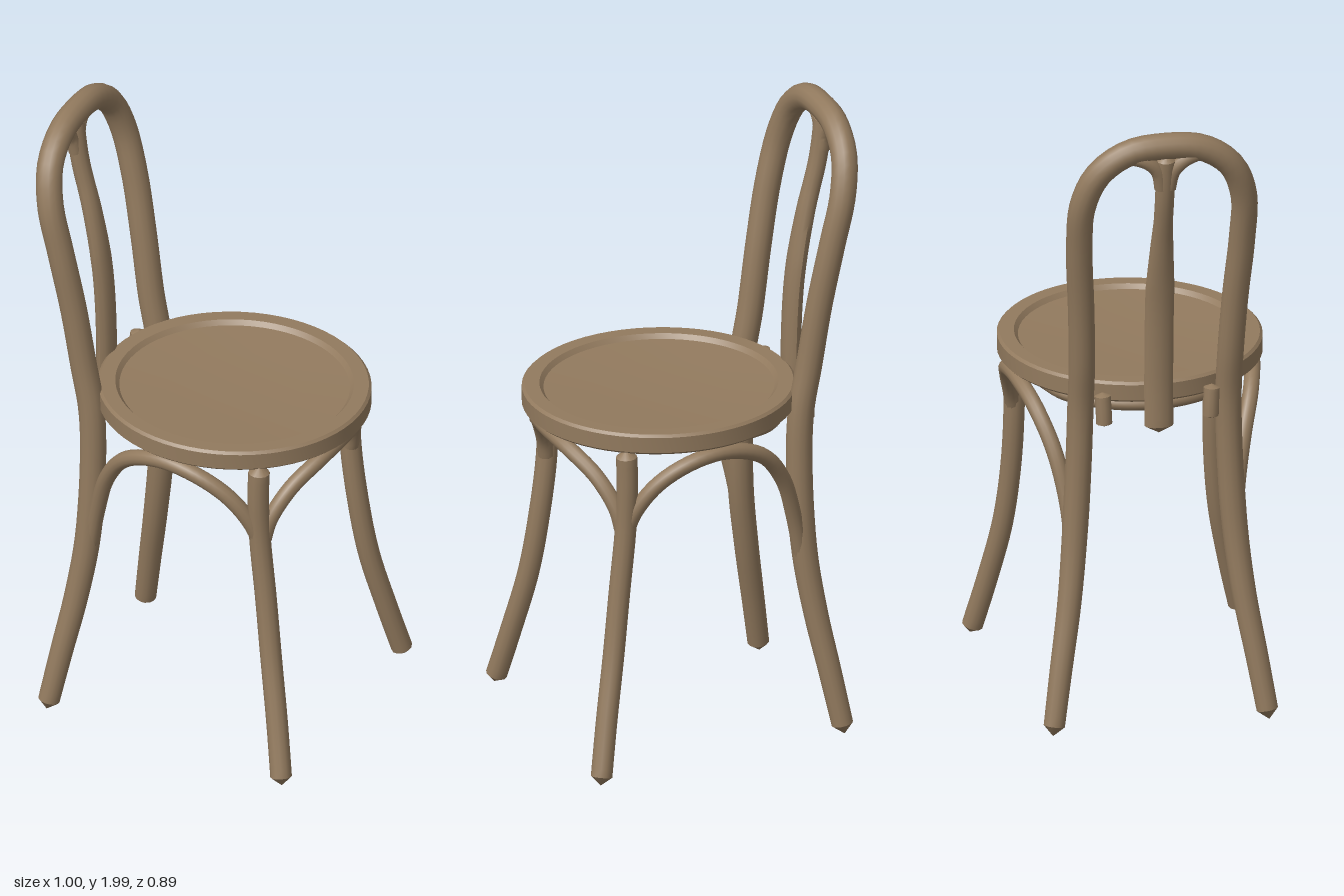
import * as THREE from 'three';
import { toCreasedNormals } from 'three/addons/utils/BufferGeometryUtils.js';

const wood = new THREE.MeshStandardMaterial({ color: 0x927a5e });
wood.name = 'brown wood';

// Bent rod through points; size(u) gives [thickness radius, radius along z]. Ends are closed.
function rod(name, points, size, steps = 40, sides = 12) {
  const curve = new THREE.CatmullRomCurve3(points.map((p) => new THREE.Vector3(...p)));
  const geo = new THREE.TubeGeometry(curve, steps, 1, sides);
  const pos = geo.attributes.position;
  const v = new THREE.Vector3();
  for (let i = 0; i < pos.count; i++) {
    const ring = Math.floor(i / (sides + 1));
    const end = ring === 0 || ring === steps;
    const u = ring / steps;
    const centre = curve.getPointAt(u);
    const [a, b] = size(u);
    v.fromBufferAttribute(pos, i).sub(centre);
    if (end) v.set(0, 0, 0);
    pos.setXYZ(i, centre.x + v.x * a, centre.y + v.y * a, centre.z + v.z * b);
  }
  const mesh = new THREE.Mesh(toCreasedNormals(geo, 0.7), wood);
  mesh.name = name;
  return mesh;
}

const round = (r) => () => [r, r];
const flip = (points) => points.map(([x, y, z]) => [x, y, -z]);

export function createModel() {
  const chair = new THREE.Group();
  chair.name = 'bentwoodChair';

  // Seat: rim with a dished panel, hollow below
  const profile = [
    [0, 1.085], [0.33, 1.085], [0.335, 1.058], [0.395, 1.058], [0.404, 1.066], [0.404, 1.116],
    [0.396, 1.124], [0.352, 1.124], [0.34, 1.11], [0.2, 1.102], [0, 1.098],
  ].map(([x, y]) => new THREE.Vector2(x, y));
  const seatGeo = new THREE.LatheGeometry(profile, 64);
  seatGeo.scale(1.04, 1, 1);
  const seat = new THREE.Mesh(toCreasedNormals(seatGeo, 0.5), wood);
  seat.name = 'seat';
  seat.position.x = 0.07;
  chair.add(seat);

  // Rear legs and back hoop are one continuous bent rod
  const half = [
    [-0.402, 0.005, 0.336], [-0.368, 0.2, 0.305], [-0.332, 0.4, 0.272], [-0.305, 0.6, 0.25],
    [-0.295, 0.85, 0.235], [-0.302, 1.05, 0.23], [-0.328, 1.2, 0.231], [-0.358, 1.4, 0.24],
    [-0.395, 1.6, 0.253], [-0.432, 1.76, 0.25], [-0.455, 1.87, 0.205], [-0.464, 1.935, 0.115],
  ];
  const hoop = [...half, [-0.466, 1.95, 0], ...flip(half).reverse()];
  chair.add(rod('backHoopAndRearLegs', hoop, (u) => {
    const r = 0.033 + 0.008 * Math.min(1, 6 * Math.min(u, 1 - u));
    return [r, r];
  }, 130, 14));

  // Central back splat, narrowing upward
  chair.add(rod('backSplat', [
    [-0.368, 0.965, 0], [-0.365, 1.15, 0], [-0.378, 1.4, 0], [-0.412, 1.6, 0],
    [-0.455, 1.78, 0], [-0.474, 1.93, 0],
  ], (u) => [0.028, u < 0.5 ? 0.045 : 0.045 - 0.015 * Math.min(1, (u - 0.5) / 0.25)]));

  const front = [
    [0.31, 1.07, 0.315], [0.306, 0.95, 0.315], [0.31, 0.8, 0.31], [0.332, 0.6, 0.315],
    [0.36, 0.4, 0.335], [0.4, 0.2, 0.375], [0.438, 0.012, 0.42],
  ];
  const sideArch = [
    [-0.298, 0.56, 0.252], [-0.265, 0.72, 0.265], [-0.215, 0.87, 0.295], [-0.13, 0.98, 0.335],
    [0, 1.028, 0.365], [0.12, 1.012, 0.37], [0.22, 0.95, 0.35], [0.285, 0.86, 0.325], [0.312, 0.78, 0.308],
  ];
  const fork = [
    [-0.462, 1.8, 0.01], [-0.472, 1.87, 0.025], [-0.476, 1.905, 0.06], [-0.47, 1.925, 0.12],
  ];
  const peg = [[-0.347, 0.99, 0.165], [-0.345, 1.04, 0.167], [-0.34, 1.1, 0.17]];
  for (const [side, place] of [['left', (p) => flip(p)], ['right', (p) => p]]) {
    chair.add(
      rod(side + 'FrontLeg', place(front), (u) => [0.033, 0.033]),
      rod(side + 'SideArch', place(sideArch), round(0.025)),
      rod(side + 'SplatFork', place(fork), round(0.022), 16),
      rod(side + 'SeatPeg', place(peg), round(0.025), 10),
    );
  }

  // Front arch bulging out below the seat rim
  const frontHalf = [
    [0.314, 0.78, 0.302], [0.33, 0.86, 0.285], [0.37, 0.95, 0.225], [0.42, 1.012, 0.12],
  ];
  chair.add(rod('frontArch', [...frontHalf, [0.437, 1.028, 0], ...flip(frontHalf).reverse()], round(0.025), 50));

  // Low rail curving under the back of the seat
  const railHalf = [[-0.08, 1.05, 0.31], [-0.19, 1.04, 0.25], [-0.27, 1.035, 0.13]];
  chair.add(rod('rearRail', [...railHalf, [-0.295, 1.033, 0], ...flip(railHalf).reverse()], round(0.022)));

  return chair;
}
